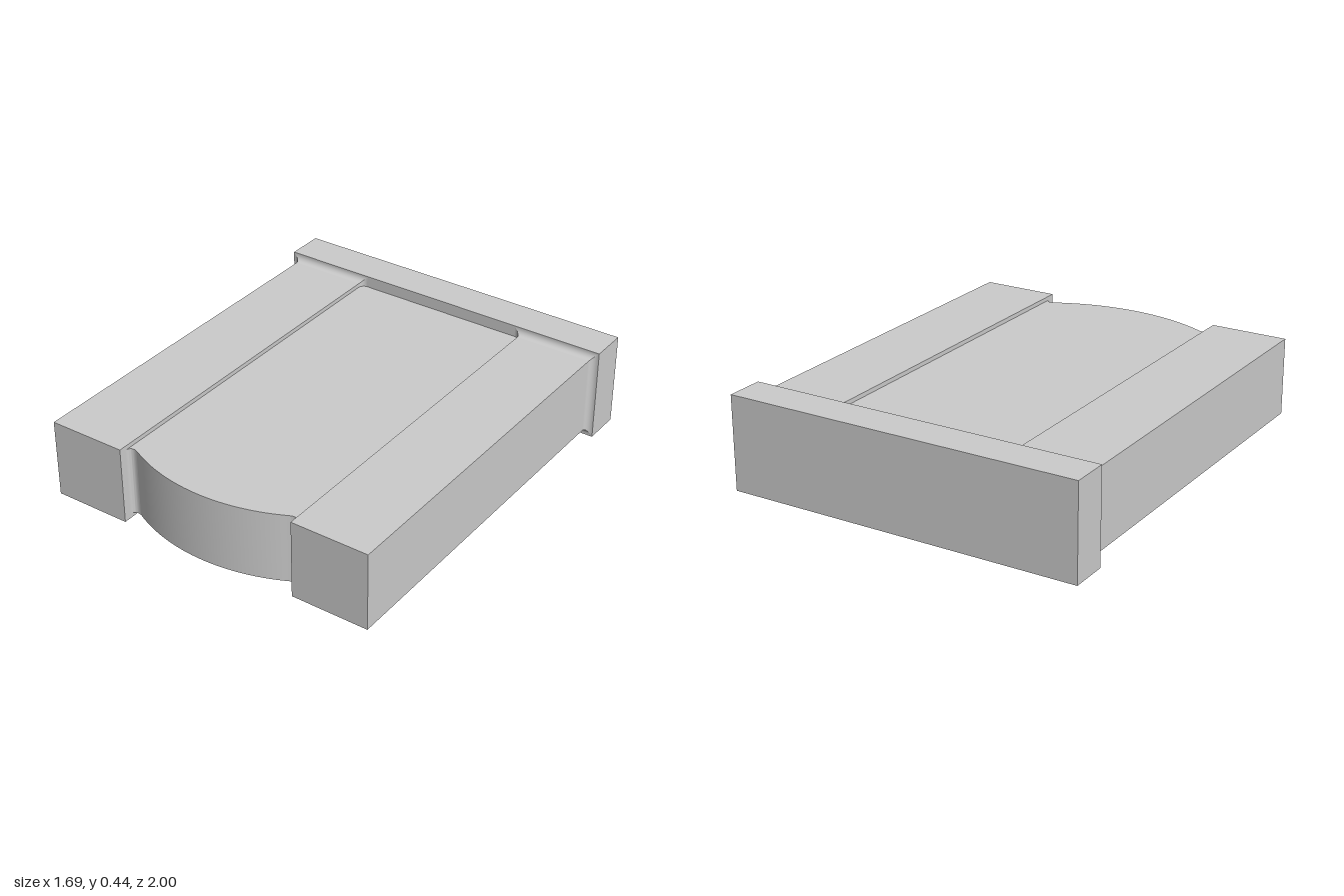
import * as THREE from 'three';
import { toCreasedNormals } from 'three/addons/utils/BufferGeometryUtils.js';

const material = new THREE.MeshStandardMaterial({ color: 0xcccccc });

// Square bar lofted along z, flaring out in a concave fillet at its rear end.
function flaredBar(halfSize, zFront, zBack, radius) {
  const sections = [[zFront, 0]];
  const steps = 10;
  for (let i = 0; i <= steps; i++) {
    const a = (i / steps) * Math.PI / 2;
    sections.push([zBack + radius * (1 - Math.sin(a)), radius * (1 - Math.cos(a))]);
  }
  const corners = [[-1, -1], [1, -1], [1, 1], [-1, 1]];
  const positions = [], index = [];
  const add = (corner, [z, grow]) =>
    positions.push(corner[0] * (halfSize + grow), corner[1] * (halfSize + grow), z);

  // Each side is its own strip, so the long edges and mitres stay sharp
  corners.forEach((corner, s) => {
    const base = positions.length / 3;
    sections.forEach((section) => {
      add(corner, section);
      add(corners[(s + 1) % 4], section);
    });
    for (let i = 0; i < sections.length - 1; i++) {
      const f = base + i * 2;
      index.push(f, f + 2, f + 1, f + 1, f + 2, f + 3);
    }
  });

  // Front and rear caps
  const front = positions.length / 3;
  corners.forEach((corner) => add(corner, sections[0]));
  index.push(front, front + 1, front + 2, front, front + 2, front + 3);
  const back = positions.length / 3;
  corners.forEach((corner) => add(corner, sections[sections.length - 1]));
  index.push(back, back + 2, back + 1, back, back + 3, back + 2);

  const geometry = new THREE.BufferGeometry();
  geometry.setAttribute('position', new THREE.Float32BufferAttribute(positions, 3));
  geometry.setIndex(index);
  geometry.computeVertexNormals();
  return geometry;
}

// Panel with a bowed front edge and small concave fillets beside the rails
function panelGeometry() {
  const half = 0.441, back = -0.83;
  const bowX = 0.392, bowZ = 0.907, sagitta = 0.093;
  const R = (bowX * bowX + sagitta * sagitta) / (2 * sagitta);
  const end = Math.asin(bowX / R);
  const shape = new THREE.Shape();
  shape.moveTo(-half, back);
  shape.lineTo(half, back);
  shape.lineTo(half, 0.925);
  shape.bezierCurveTo(half, 0.9, 0.42, 0.893, bowX, bowZ);
  shape.absarc(0, 1 - R, R, Math.PI / 2 - end, Math.PI / 2 + end, false);
  shape.bezierCurveTo(-0.42, 0.893, -half, 0.9, -half, 0.925);
  shape.closePath();
  const geometry = new THREE.ExtrudeGeometry(shape, { depth: 0.33, bevelEnabled: false, curveSegments: 24 });
  geometry.rotateX(Math.PI / 2);
  return toCreasedNormals(geometry, 0.6);
}

export function createModel() {
  const model = new THREE.Group();
  const add = (name, geometry, x, y, z) => {
    const mesh = new THREE.Mesh(geometry, material);
    mesh.name = name;
    mesh.position.set(x, y, z);
    model.add(mesh);
  };

  // Wide plate across the back
  add('backPlate', new THREE.BoxGeometry(1.694, 0.444, 0.18), 0, 0.222, -0.91);

  // Bowed panel between the rails
  add('centerPanel', panelGeometry(), 0, 0.388, 0);

  // Square rails on both sides
  const rail = flaredBar(0.185, 0.96, -0.82, 0.03);
  add('leftRail', rail, 0.626, 0.223, 0);
  add('rightRail', rail, -0.626, 0.223, 0);

  return model;
}
